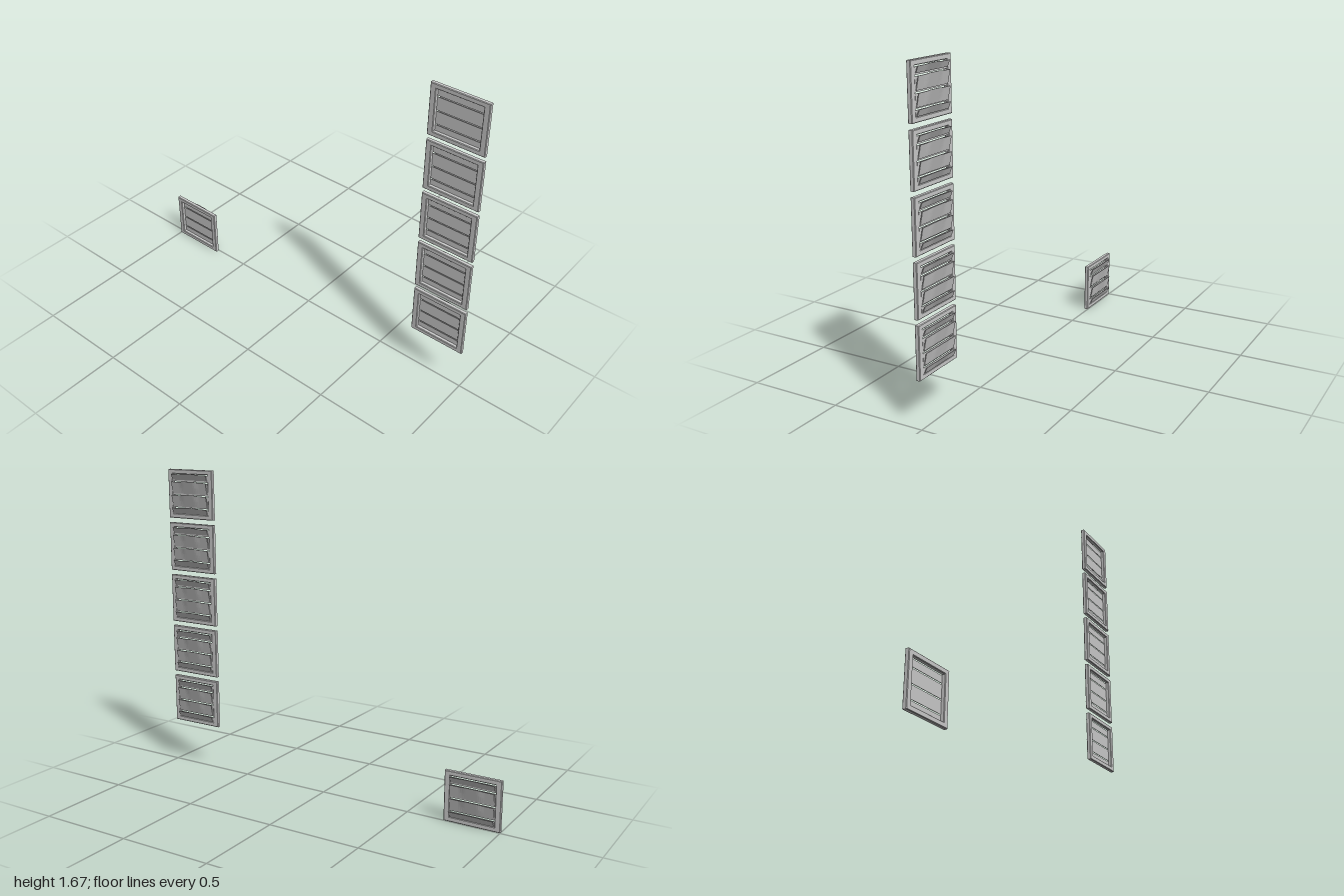
import * as THREE from 'three';

const W = 0.3, H = 0.265, DEPTH = 0.022;      // panel size
const OPEN_W = 0.24, OPEN_H = 0.216;          // opening in the frame
const material = new THREE.MeshStandardMaterial({ color: 0xcccccc, flatShading: true, side: THREE.DoubleSide });

function rectangle(PathType, w, h) {
  return new PathType([
    new THREE.Vector2(-w / 2, -h / 2), new THREE.Vector2(w / 2, -h / 2),
    new THREE.Vector2(w / 2, h / 2), new THREE.Vector2(-w / 2, h / 2),
  ]);
}

// Bevelled ring whose outer face lies on x = 0
function frameGeometry() {
  const bevel = 0.003;
  const shape = rectangle(THREE.Shape, W - 2 * bevel, H - 2 * bevel);
  shape.holes.push(rectangle(THREE.Path, OPEN_W + 2 * bevel, OPEN_H + 2 * bevel));
  const g = new THREE.ExtrudeGeometry(shape, {
    depth: DEPTH - 2 * bevel, bevelEnabled: true, bevelThickness: bevel, bevelSize: bevel, bevelSegments: 1,
  });
  g.translate(0, 0, -DEPTH + bevel);
  return g.rotateY(Math.PI / 2);
}

// Thin slat leaning outward at the top, with a raised middle on its upper edge
function slatGeometry(height) {
  const g = new THREE.BoxGeometry(0.004, height, 0.235, 1, 2, 24);
  const p = g.attributes.position;
  for (let i = 0; i < p.count; i++) {
    const up = p.getY(i) / height + 0.5;
    const bulge = THREE.MathUtils.clamp((0.065 - Math.abs(p.getZ(i))) / 0.03, 0, 1);
    p.setX(i, p.getX(i) + 0.001 + up * (0.013 + 0.005 * bulge));
    p.setY(i, p.getY(i) + 0.004 * bulge * up);
  }
  g.computeVertexNormals();
  return g;
}

function createPanel(y, z) {
  const panel = new THREE.Group();
  panel.name = 'louvrePanel';
  const add = (name, geometry, x = 0, py = 0) => {
    const mesh = new THREE.Mesh(geometry, material);
    mesh.name = name;
    mesh.position.set(x, py, 0);
    panel.add(mesh);
  };
  add('frame', frameGeometry());

  // Slat bottoms and tops, measured from the middle of the panel
  const slats = [[-0.106, -0.075], [-0.068, -0.006], [0.003, 0.066], [0.076, 0.107]];
  slats.forEach(([bottom, top]) => add('slat', slatGeometry(top - bottom), 0, (bottom + top) / 2));

  // Backing plate, in strips that leave a slot behind each slat
  const slots = slats.map(([, top]) => top - 0.004);
  let from = -OPEN_H / 2;
  for (const to of [...slots, OPEN_H / 2]) {
    if (to - from > 0.004) {
      add('backingStrip', new THREE.BoxGeometry(0.003, to - from, OPEN_W), -0.003, (from + to) / 2);
    }
    from = to + 0.006;
  }
  panel.position.set(0, y + H / 2, z);
  return panel;
}

export function createModel() {
  const model = new THREE.Group();
  model.name = 'louvrePanels';
  // Column of five panels towards the front, a single one at the rear
  for (let i = 0; i < 5; i++) model.add(createPanel(0.238 + i * 0.291, 0.85));
  model.add(createPanel(0, -0.85));
  return model;
}
